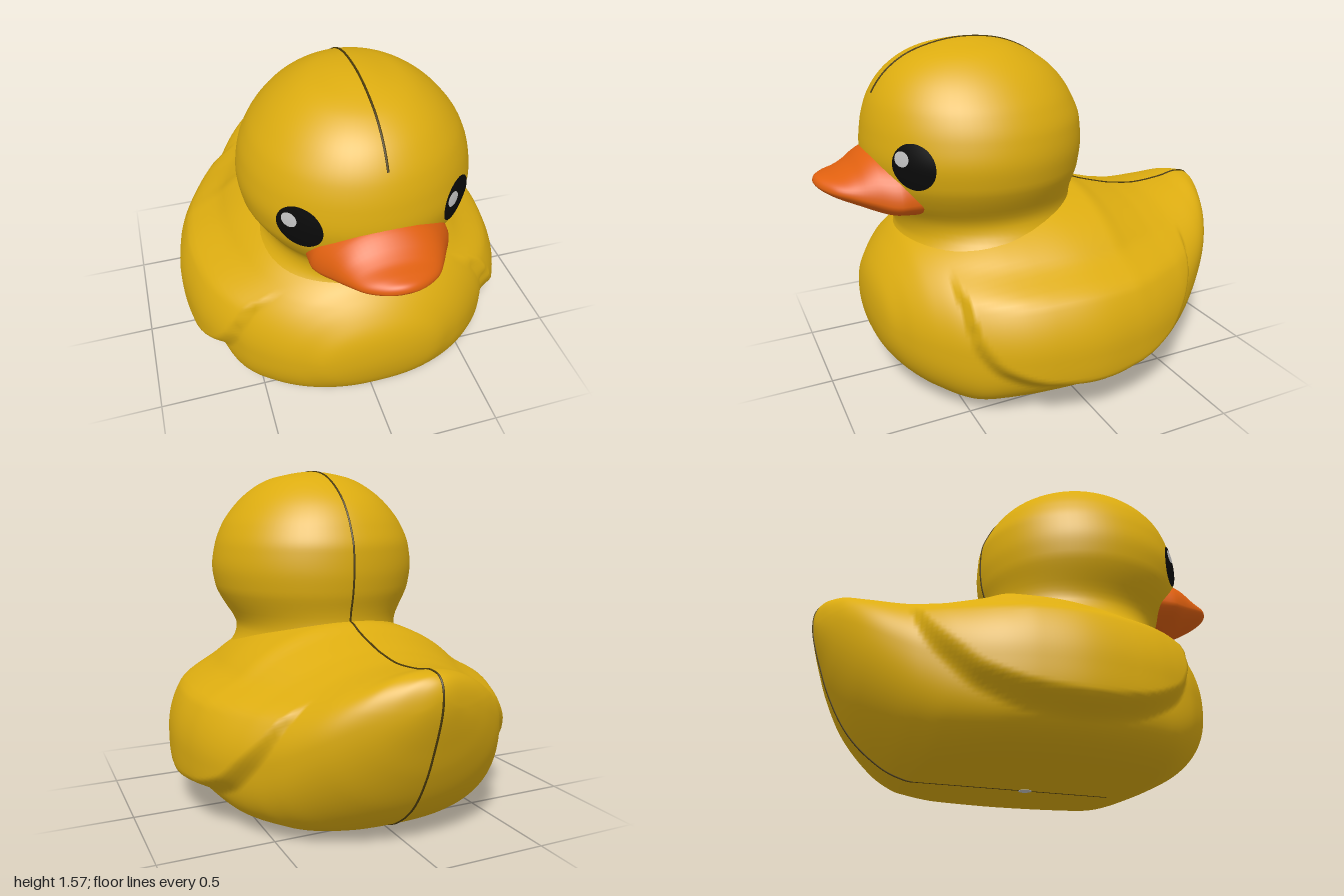
import * as THREE from 'three';
import { mergeVertices } from 'three/addons/utils/BufferGeometryUtils.js';

const material = (name, color) => {
  const m = new THREE.MeshStandardMaterial({ color });
  m.name = name;
  return m;
};

// Smooth monotone interpolation through [key, value] pairs; warp rounds off the ends.
function curve(points, warp = (k) => k) {
  const p = points.map(([k, v]) => [warp(k), v]).sort((a, b) => a[0] - b[0]);
  const d = p.slice(1).map((q, i) => (q[1] - p[i][1]) / (q[0] - p[i][0]));
  const m = p.map((_, i) => {
    if (i === 0) return d[0];
    if (i === d.length) return d[i - 1];
    return d[i - 1] * d[i] <= 0 ? 0 : (2 * d[i - 1] * d[i]) / (d[i - 1] + d[i]);
  });
  return (key) => {
    const x = THREE.MathUtils.clamp(warp(key), p[0][0], p[p.length - 1][0]);
    let i = 0;
    while (i < d.length - 1 && x > p[i + 1][0]) i++;
    const h = p[i + 1][0] - p[i][0], t = (x - p[i][0]) / h, t2 = t * t, t3 = t2 * t;
    return (2 * t3 - 3 * t2 + 1) * p[i][1] + (t3 - 2 * t2 + t) * h * m[i]
      + (3 * t2 - 2 * t3) * p[i + 1][1] + (t3 - t2) * h * m[i + 1];
  };
}

// Skin closed rings: at(u, angle) gives a point, u runs 0..1 along the rings.
function loft(rings, sides, at) {
  const pos = [], index = [];
  for (let i = 0; i <= rings; i++)
    for (let j = 0; j < sides; j++) pos.push(...at(i / rings, (j / sides) * Math.PI * 2));
  for (let i = 0; i < rings; i++)
    for (let j = 0; j < sides; j++) {
      const a = i * sides + j, b = i * sides + ((j + 1) % sides);
      index.push(a, a + sides, b + sides, a, b + sides, b);
    }
  let g = new THREE.BufferGeometry();
  g.setAttribute('position', new THREE.Float32BufferAttribute(pos, 3));
  g.setIndex(index);
  g = mergeVertices(g, 1e-5);
  g.computeVertexNormals();
  return g;
}

// Body profiles along z
const MID = -0.0925, HALF = 0.9075;
const bodyWarp = (z) => Math.acos(THREE.MathUtils.clamp((z - MID) / HALF, -1, 1));
const body = {
  top: curve([[0.815, 0.38], [0.8, 0.5], [0.75, 0.6], [0.7, 0.66], [0.64, 0.715], [0.55, 0.76], [0.3, 0.84],
    [0, 0.87], [-0.19, 0.865], [-0.3, 0.825], [-0.4, 0.795], [-0.5, 0.77], [-0.65, 0.752], [-0.8, 0.762],
    [-0.9, 0.78], [-0.95, 0.775], [-0.98, 0.755], [-1, 0.69]], bodyWarp),
  bottom: curve([[0.815, 0.38], [0.81, 0.31], [0.78, 0.2], [0.7, 0.1], [0.6, 0.04], [0.45, 0], [-0.5, 0],
    [-0.6, 0.025], [-0.7, 0.085], [-0.8, 0.18], [-0.9, 0.35], [-0.95, 0.48], [-0.98, 0.57], [-1, 0.69]], bodyWarp),
  width: curve([[0.815, 0], [0.8, 0.18], [0.78, 0.26], [0.74, 0.34], [0.7, 0.41], [0.62, 0.51], [0.53, 0.59],
    [0.4, 0.65], [0.2, 0.695], [0, 0.71], [-0.2, 0.69], [-0.4, 0.64], [-0.62, 0.54], [-0.7, 0.49], [-0.81, 0.4],
    [-0.88, 0.31], [-0.94, 0.2], [-0.98, 0.1], [-1, 0]], bodyWarp),
  middle: curve([[0.815, 0.38], [0.6, 0.34], [0.3, 0.33], [-0.4, 0.33], [-0.6, 0.38], [-0.8, 0.5], [-0.9, 0.58],
    [-1, 0.69]], bodyWarp),
  square: curve([[0.815, 2], [0.6, 3], [0.4, 3.7], [-0.3, 3.7], [-0.5, 3], [-0.8, 2.2], [-1, 2]], bodyWarp),
};

// Raised wings: lower edge and thickness along z
const wingEdge = curve([[-0.65, 0.62], [-0.6, 0.44], [-0.5, 0.3], [-0.4, 0.21], [-0.2, 0.14], [0, 0.12],
  [0.2, 0.14], [0.4, 0.22], [0.5, 0.35], [0.54, 0.62]]);
const wingBulge = curve([[-0.65, 0.03], [-0.5, 0.065], [-0.3, 0.085], [0, 0.092], [0.3, 0.08], [0.5, 0.05]]);
const wing = (y, z) => wingBulge(z) * THREE.MathUtils.smoothstep(y, wingEdge(z), wingEdge(z) + 0.08)
  * (1 - THREE.MathUtils.smoothstep(y, 0.55, 0.66));

function bodyPoint(u, a) {
  const z = MID + HALF * Math.cos(u * Math.PI), c = Math.cos(a), s = Math.sin(a);
  const mid = body.middle(z), n = s < 0 ? body.square(z) : 2;
  const r = (Math.abs(c) ** n + Math.abs(s) ** n) ** (-1 / n);
  const y = mid + r * s * (s < 0 ? mid - body.bottom(z) : body.top(z) - mid);
  const x = body.width(z) * r * c;
  return [x + Math.sign(Math.round(c * 1e6)) * wing(y, z), y, z];
}

// Head profiles down y
const CROWN = 1.565;
const headWarp = (y) => Math.sqrt(Math.max(0, CROWN - y));
const head = {
  width: curve([[CROWN, 0], [1.55, 0.12], [1.53, 0.2], [1.475, 0.3], [1.38, 0.4], [1.3, 0.455], [1.2, 0.493],
    [1.1, 0.507], [1, 0.493], [0.95, 0.472], [0.9, 0.443], [0.85, 0.413], [0.81, 0.4], [0.77, 0.407],
    [0.73, 0.43], [0.68, 0.47]], headWarp),
  front: curve([[CROWN, 0.28], [1.55, 0.42], [1.5, 0.57], [1.4, 0.69], [1.3, 0.745], [1.2, 0.77], [1.1, 0.78],
    [1, 0.765], [0.9, 0.72], [0.82, 0.665], [0.77, 0.645], [0.73, 0.64], [0.68, 0.66]], headWarp),
  back: curve([[CROWN, 0.28], [1.55, 0.13], [1.5, 0], [1.4, -0.13], [1.3, -0.195], [1.2, -0.23], [1.1, -0.235],
    [1, -0.225], [0.9, -0.2], [0.86, -0.195], [0.8, -0.2], [0.68, -0.22]], headWarp),
};
function headPoint(y, a, lift = 0) {
  const f = head.front(y), b = head.back(y);
  return [(head.width(y) + lift) * Math.sin(a), y, (f + b) / 2 + ((f - b) / 2 + lift) * Math.cos(a)];
}

// Beak profiles along z
const beakWarp = (z) => Math.sqrt(Math.max(0, 1 - z));
const beak = {
  width: curve([[1, 0], [0.97, 0.1], [0.93, 0.155], [0.85, 0.21], [0.78, 0.25], [0.72, 0.285], [0.68, 0.3],
    [0.55, 0.3]], beakWarp),
  top: curve([[1, 0.99], [0.985, 1.015], [0.95, 1.025], [0.9, 1.035], [0.85, 1.06], [0.8, 1.1], [0.76, 1.12],
    [0.55, 1.13]], beakWarp),
  bottom: curve([[1, 0.99], [0.985, 0.965], [0.95, 0.94], [0.85, 0.89], [0.7, 0.83], [0.55, 0.81]], beakWarp),
  middle: curve([[1, 0.99], [0.9, 0.965], [0.8, 0.94], [0.7, 0.92], [0.55, 0.92]], beakWarp),
};
function beakPoint(u, a) {
  const z = 1 - 0.45 * u * u, s = Math.sin(a), mid = beak.middle(z);
  return [beak.width(z) * Math.cos(a), mid + s * (s < 0 ? mid - beak.bottom(z) : beak.top(z) - mid), z];
}

// Thin oval plate that follows the head surface
const headOval = (angle, y, da, dy, lift) =>
  loft(8, 40, (r, t) => headPoint(y + dy * r * Math.sin(t), angle + da * r * Math.cos(t), lift));

// Moulding seam along the centre line
function seamTube(points) {
  const path = new THREE.CatmullRomCurve3(points.map(([y, z]) => new THREE.Vector3(0, y, z)));
  return new THREE.TubeGeometry(path, 160, 0.005, 6);
}
function headSeam() {
  const pts = [];
  for (let i = 0; i <= 20; i++) {
    const y = CROWN - (CROWN - 1.35) * (1 - i / 20) ** 2;
    pts.push([y, head.front(y)]);
  }
  for (let i = 1; i <= 30; i++) {
    const y = CROWN - (CROWN - 0.865) * (i / 30) ** 2;
    pts.push([y, head.back(y)]);
  }
  return seamTube(pts);
}
function bodySeam() {
  const pts = [], a0 = bodyWarp(-0.19), a1 = bodyWarp(0.4);
  const zAt = (a) => MID + HALF * Math.cos(a);
  for (let i = 0; i <= 30; i++) {
    const z = zAt(a0 + (Math.PI - a0) * (i / 30));
    pts.push([body.top(z), z]);
  }
  for (let i = 1; i <= 40; i++) {
    const z = zAt(Math.PI + (a1 - Math.PI) * (i / 40));
    pts.push([Math.max(0.003, body.bottom(z)), z]);
  }
  return seamTube(pts);
}

export function createModel() {
  const yellow = material('yellow', 0xdcac10);
  const orange = material('orange', 0xe0600f);
  const black = material('black', 0x0a0a0a);
  const grey = material('light grey', 0xc4c4c4);
  const dark = material('seam brown', 0x4a3a0a);

  const duck = new THREE.Group();
  duck.name = 'duck';
  const add = (name, geometry, mat) => {
    const mesh = new THREE.Mesh(geometry, mat);
    mesh.name = name;
    duck.add(mesh);
    return mesh;
  };

  add('bodyWithWings', loft(150, 144, bodyPoint), yellow);
  add('head', loft(72, 72, (u, a) => headPoint(CROWN - (CROWN - 0.68) * u * u, a)), yellow);
  add('beak', loft(40, 56, beakPoint), orange);

  // Eyes mirror, but both highlights sit on the same side
  for (const [side, sign, glint] of [['left', 1, 0.62], ['right', -1, -0.8]]) {
    add(side + 'Eye', headOval(sign * 0.72, 1.098, 0.205, 0.1, 0.005), black);
    add(side + 'EyeHighlight', headOval(glint, 1.13, 0.07, 0.033, 0.009), grey);
  }

  add('headSeam', headSeam(), dark);
  add('bodySeam', bodySeam(), dark);
  add('bottomPlug', new THREE.CylinderGeometry(0.03, 0.03, 0.008, 24), grey).position.y = 0.002;
  return duck;
}
